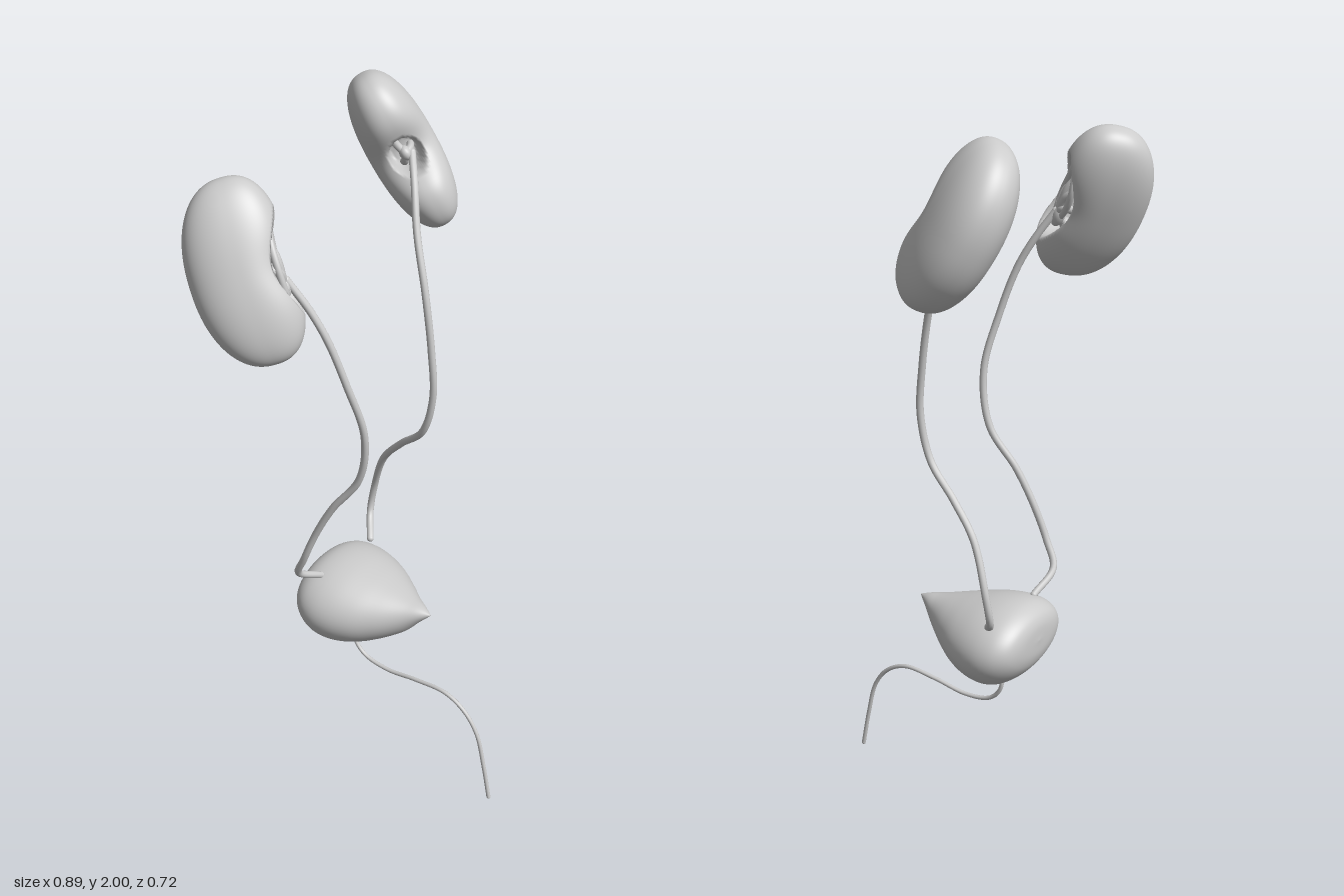
import * as THREE from 'three';
import { mergeVertices } from 'three/addons/utils/BufferGeometryUtils.js';

const material = new THREE.MeshStandardMaterial({ color: 0xcccccc, roughness: 0.7, side: THREE.DoubleSide });
const V = (p) => new THREE.Vector3(...p);

function addMesh(parent, name, geometry) {
  const mesh = new THREE.Mesh(geometry, material);
  mesh.name = name;
  parent.add(mesh);
  return mesh;
}

function addBall(parent, name, position, radius, scale = [1, 1, 1]) {
  const ball = addMesh(parent, name, new THREE.SphereGeometry(radius, 18, 12));
  ball.position.set(...position);
  ball.scale.set(...scale);
}

// Round tube through a few points, with rounded ends when open
function addTube(parent, name, points, radius, closed = false) {
  const curve = new THREE.CatmullRomCurve3(points.map(V), closed);
  addMesh(parent, name, new THREE.TubeGeometry(curve, points.length * 10, radius, 12, closed));
  if (closed) return;
  for (const p of [points[0], points[points.length - 1]]) addBall(parent, name + 'End', p, radius);
}

// Bean-shaped body: local y is the long axis, the hilum opens toward +x
function kidneyGeometry({ size, notch, bend, hollow }) {
  let g = new THREE.SphereGeometry(1, 112, 80);
  g.deleteAttribute('uv');
  g.deleteAttribute('normal');
  g = mergeVertices(g, 1e-4);
  const pos = g.attributes.position;
  const p = 2.35; // slightly fuller than an ellipsoid
  for (let i = 0; i < pos.count; i++) {
    const n = V([pos.getX(i), pos.getY(i), pos.getZ(i)]);
    n.divideScalar((Math.abs(n.x) ** p + Math.abs(n.y) ** p + Math.abs(n.z) ** p) ** (1 / p));
    const y = size[1] * n.y, z = size[2] * n.z;
    let x = size[0] * n.x - bend * (1 - 2 * n.y * n.y);
    if (n.x > 0) {
      x -= notch * n.x * Math.exp(-((n.y / 0.34) ** 2));
      const d = Math.hypot(z / hollow.rz, (y - hollow.y) / hollow.ry);
      x -= hollow.depth * (1 - THREE.MathUtils.smoothstep(d, 0.75, 1.05)) * Math.min(1, n.x * 2);
    }
    pos.setXYZ(i, x, y, z);
  }
  g.computeVertexNormals();
  return g;
}

function addKidney(parent, name, center, up, hilum, shape) {
  const group = new THREE.Group();
  group.name = name;
  const y = V(up).normalize();
  const z = new THREE.Vector3().crossVectors(V(hilum), y).normalize();
  const x = new THREE.Vector3().crossVectors(y, z);
  group.quaternion.setFromRotationMatrix(new THREE.Matrix4().makeBasis(x, y, z));
  group.position.set(...center);
  addMesh(group, name + 'Body', kidneyGeometry(shape));
  parent.add(group);
  return group;
}

// Bladder lofted from elliptical sections along z: [z, half width, top, bottom]
function bladderGeometry() {
  const sections = [
    [0.132, 0.001, 0.581, 0.579], [0.1, 0.026, 0.592, 0.545], [0.06, 0.057, 0.601, 0.498],
    [0, 0.105, 0.617, 0.455], [-0.06, 0.145, 0.633, 0.425], [-0.12, 0.168, 0.646, 0.409],
    [-0.17, 0.173, 0.65, 0.412], [-0.21, 0.162, 0.645, 0.435], [-0.24, 0.136, 0.629, 0.467],
    [-0.256, 0.095, 0.605, 0.5], [-0.262, 0.001, 0.556, 0.554],
  ];
  const widths = new THREE.CatmullRomCurve3(sections.map((s) => V([s[1], 0, s[0]])));
  const heights = new THREE.CatmullRomCurve3(sections.map((s) => V([s[2], s[3], s[0]])));
  const rows = 60, sides = 56, verts = [], index = [];
  for (let r = 0; r <= rows; r++) {
    const a = widths.getPoint(r / rows), b = heights.getPoint(r / rows);
    for (let k = 0; k < sides; k++) {
      const t = (k / sides) * Math.PI * 2;
      verts.push(a.x * Math.cos(t), (b.x + b.y) / 2 + ((b.x - b.y) / 2) * Math.sin(t), a.z);
      if (r === rows) continue;
      const p = r * sides + k, q = r * sides + ((k + 1) % sides);
      index.push(p, p + sides, q, q, p + sides, q + sides);
    }
  }
  const g = new THREE.BufferGeometry();
  g.setAttribute('position', new THREE.Float32BufferAttribute(verts, 3));
  g.setIndex(index);
  g.computeVertexNormals();
  return g;
}

export function createModel() {
  const model = new THREE.Group();
  model.name = 'urinarySystem';

  addMesh(model, 'bladder', bladderGeometry()).position.x = -0.003;

  // Urethra curves forward and down from the bladder floor
  addTube(model, 'urethra', [
    [-0.14, 0.43], [-0.137, 0.36], [-0.1, 0.317], [-0.02, 0.302], [0.085, 0.317],
    [0.19, 0.323], [0.255, 0.29], [0.3, 0.228], [0.328, 0.12], [0.35, 0.006],
  ].map(([z, y]) => [-0.005, y, z]), 0.006);

  // Ureters from the kidneys to the top of the bladder
  addTube(model, 'leftUreter', [
    [0.285, 1.8, -0.155], [0.235, 1.75, -0.11], [0.18, 1.64, -0.06], [0.143, 1.5, -0.005],
    [0.132, 1.34, 0.025], [0.131, 1.2, 0.033], [0.132, 1.075, 0], [0.15, 0.99, -0.085],
    [0.168, 0.9, -0.16], [0.193, 0.757, -0.215], [0.18, 0.677, -0.22], [0.125, 0.63, -0.178],
  ], 0.01);
  addTube(model, 'rightUreter', [
    [-0.26, 1.68, -0.13], [-0.235, 1.6, -0.08], [-0.218, 1.52, -0.04], [-0.195, 1.39, 0],
    [-0.16, 1.23, 0.027], [-0.15, 1.075, 0], [-0.17, 0.96, -0.075], [-0.182, 0.86, -0.125],
    [-0.19, 0.757, -0.165], [-0.175, 0.685, -0.198], [-0.095, 0.632, -0.185],
  ], 0.01);

  // Left kidney, with a deep notch where the ureter branches in
  const left = addKidney(model, 'leftKidney', [0.305, 1.79, -0.2], [-0.2, 0.83, -0.42], [-0.65, 0.2, 0.65],
    { size: [0.143, 0.226, 0.092], notch: 0.06, bend: 0.014,
      hollow: { y: 0, rz: 0.045, ry: 0.05, depth: 0.06 } });
  for (const [y, z] of [[0.035, 0.012], [0.005, -0.025], [-0.03, 0.015]]) {
    addTube(left, 'leftCalyx', [[0.055, 0, 0], [0.035, y * 0.7, z * 0.7], [0, y, z]], 0.01);
  }
  addBall(left, 'leftPelvis', [0.045, 0, 0], 0.016, [1.3, 1.3, 1]);

  // Right kidney, with a wide opening facing forward and inward
  const right = addKidney(model, 'rightKidney', [-0.32, 1.7, -0.207], [0.11, 0.85, -0.4], [0.65, 0.23, 0.65],
    { size: [0.132, 0.235, 0.088], notch: 0.025, bend: 0.008,
      hollow: { y: 0, rz: 0.064, ry: 0.13, depth: 0.08 } });

  // Branching collecting tubes and cups inside the opening
  const root = [0.08, -0.055, -0.01];
  for (const [y, z] of [[0.095, 0.005], [0.06, -0.035], [0.055, 0.035], [0, 0.042], [-0.01, -0.042], [-0.09, 0.01]]) {
    addTube(right, 'rightCalyx', [root, [0.08, y * 0.5 - 0.02, z * 0.4], [0.045, y, z]], 0.011);
    addBall(right, 'rightCalyxCup', [0.045, y, z], 0.017);
  }
  addTube(right, 'rightVesselLoop', [
    [0.085, 0.1, 0], [0.08, 0.05, -0.035], [0.075, -0.02, -0.03], [0.08, -0.08, 0.005],
    [0.08, -0.02, 0.03], [0.08, 0.05, 0.025],
  ], 0.009, true);
  addBall(right, 'rightPelvis', root, 0.018, [1, 1.8, 1]);

  return model;
}
